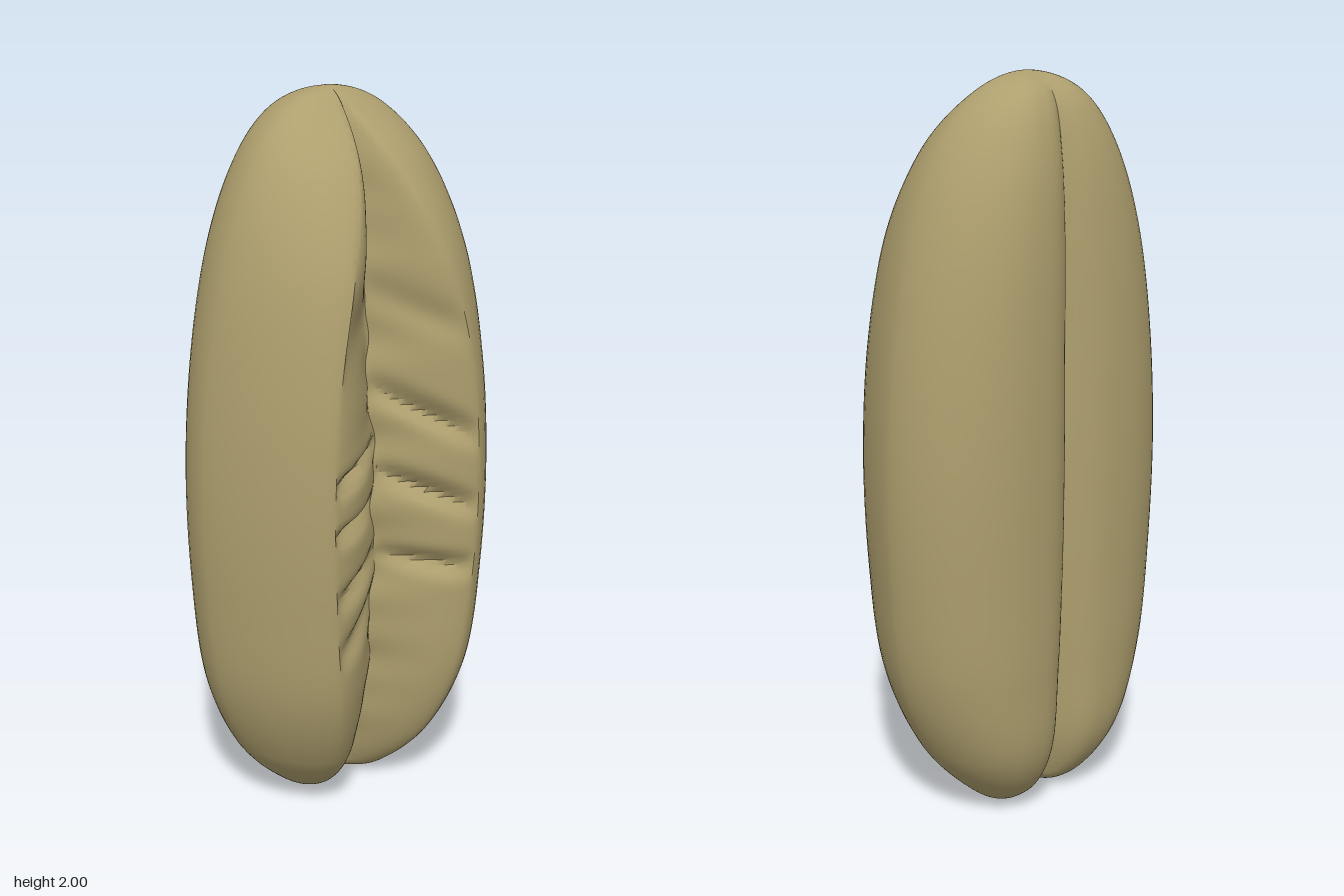
import * as THREE from 'three';
import { toCreasedNormals } from 'three/addons/utils/BufferGeometryUtils.js';

// Smooth curve through 11 values, from the bottom of the pod (u = 0) to its top (u = 1)
function curve(values) {
  const n = values.length - 1;
  return (u) => {
    const f = Math.min(u * n, n - 1e-9), i = Math.floor(f), t = f - i;
    const b = values[i], c = values[i + 1];
    const a = i > 0 ? values[i - 1] : 2 * b - c;
    const d = i < n - 1 ? values[i + 2] : 2 * c - b;
    return b + 0.5 * t * (c - a + t * (2 * a - 5 * b + 4 * c - d + t * (3 * (b - c) + d - a)));
  };
}

const halfWidth = curve([0.095, 0.19, 0.315, 0.405, 0.438, 0.445, 0.42, 0.365, 0.277, 0.155, 0]);
const middleZ = curve([-0.06, -0.06, -0.04, -0.03, -0.03, -0.03, -0.03, -0.03, -0.04, -0.06, -0.07]);
const ridgeX = curve([0.095, 0.1, 0.15, 0.2, 0.23, 0.24, 0.215, 0.15, 0.07, 0.015, 0]);
const ridgeZ = curve([-0.06, 0.05, 0.175, 0.258, 0.28, 0.285, 0.277, 0.247, 0.155, 0.02, -0.07]);
const seamZ = curve([-0.06, -0.02, 0.05, 0.1, 0.12, 0.13, 0.11, 0.09, 0.06, 0.0, -0.07]);
const backX = curve([0.095, 0.1, 0.13, 0.155, 0.165, 0.17, 0.16, 0.14, 0.1, 0.06, 0]);
const backZ = curve([-0.06, -0.17, -0.25, -0.27, -0.276, -0.28, -0.277, -0.265, -0.235, -0.175, -0.07]);
const backCrease = curve([0, 0.08, 0.08, 0.07, 0.06, 0.06, 0.06, 0.05, 0.035, 0.01, 0]);

// Wrinkles on each inner face: [height, slope towards the seam, half height, depth]
const wrinkles = {
  '-1': [[1.42, -0.06, 0.11, 0.035], [1.07, 0.03, 0.025, 0.045], [0.92, 0, 0.022, 0.045],
    [0.75, 0.03, 0.03, 0.035], [0.6, 0.06, 0.04, 0.03]],
  '1': [[1.17, 0.15, 0.035, 0.045], [0.95, 0.12, 0.03, 0.045], [0.74, 0.05, 0.03, 0.04],
    [1.45, 0.1, 0.05, 0.02]],
};

const RINGS = 200, BACK = 14, SIDE = 14, INNER = 20;

// One horizontal section of a half, from the back crease round to the front seam
function section(u, side) {
  const y = 1 - Math.cos(Math.PI * u);
  const w = halfWidth(u), zc = middleZ(u), rx = ridgeX(u), rz = ridgeZ(u);
  const bx = backX(u), bz = backZ(u), points = [];

  // The halves separate at the very bottom
  const gap = Math.max(0, 1 - y / 0.05);
  const inner = 0.095 * (1 - Math.sqrt(1 - gap * gap));
  const add = (x, z) => points.push([side * x, y, z]);

  // Back crease to back bulge
  for (let i = 0; i < BACK; i++) {
    const k = 1 - i / BACK;
    add(bx + (inner - bx) * k, bz + backCrease(u) * k ** 3);
  }
  // Back bulge to widest line
  for (let i = 0; i < SIDE; i++) {
    const a = (i / SIDE) * Math.PI / 2;
    add(bx + (w - bx) * Math.sin(a), zc + (bz - zc) * Math.cos(a));
  }
  // Widest line to sharp front ridge
  const power = 1 + 1.75 * Math.min(rx, 0.24);
  for (let i = 0; i < SIDE; i++) {
    const a = (i / SIDE) * Math.PI / 2;
    add(rx + (w - rx) * Math.cos(a) ** power, zc + (rz - zc) * Math.sin(a) ** power);
  }
  // Wrinkled inner face, from the ridge to a slightly wavering seam
  const open = Math.sin(Math.PI * u) ** 2;
  const sway = open * (0.008 * Math.sin(y * 19) + 0.004 * Math.sin(y * 47) - 0.02 * (y - 1));
  for (let i = 0; i <= INNER; i++) {
    const t = i / INNER;
    let z = rz + (seamZ(u) - rz) * t ** 1.7;
    const fade = Math.max(0, Math.sin(Math.PI * t)) ** 0.6;
    for (const [height, slope, size, depth] of wrinkles[side]) {
      z -= fade * depth * Math.exp(-(((y - height - slope * (t - 0.5)) / size) ** 2));
    }
    add(rx + (inner - rx) * t + side * sway * t * t, z);
  }
  return points;
}

// Join the sections of both halves into one skin
function podGeometry() {
  const positions = [], indices = [];
  for (const side of [1, -1]) {
    const start = positions.length / 3;
    let count = 0;
    for (let i = 0; i <= RINGS; i++) {
      const ring = section(i / RINGS, side);
      count = ring.length;
      ring.forEach((p) => positions.push(...p));
    }
    for (let i = 0; i < RINGS; i++) {
      // Only the parted bottom needs a wall facing the other half
      const parted = 1 - Math.cos(Math.PI * i / RINGS) < 0.05;
      for (let j = 0; j < (parted ? count : count - 1); j++) {
        const next = (j + 1) % count;
        const a = start + i * count + j, b = a + count;
        const c = start + i * count + next, d = c + count;
        if (side > 0) indices.push(a, b, c, b, d, c);
        else indices.push(a, c, b, b, c, d);
      }
    }
  }
  const geometry = new THREE.BufferGeometry();
  geometry.setAttribute('position', new THREE.Float32BufferAttribute(positions, 3));
  geometry.setIndex(indices);
  return toCreasedNormals(geometry, 0.6);
}

export function createModel() {
  const husk = new THREE.MeshStandardMaterial({ color: 0xae9f6e, side: THREE.DoubleSide });
  husk.name = 'olive tan husk';

  const pod = new THREE.Mesh(podGeometry(), husk);
  pod.name = 'splitPod';

  const model = new THREE.Group();
  model.name = 'seedPod';
  model.add(pod);
  return model;
}
